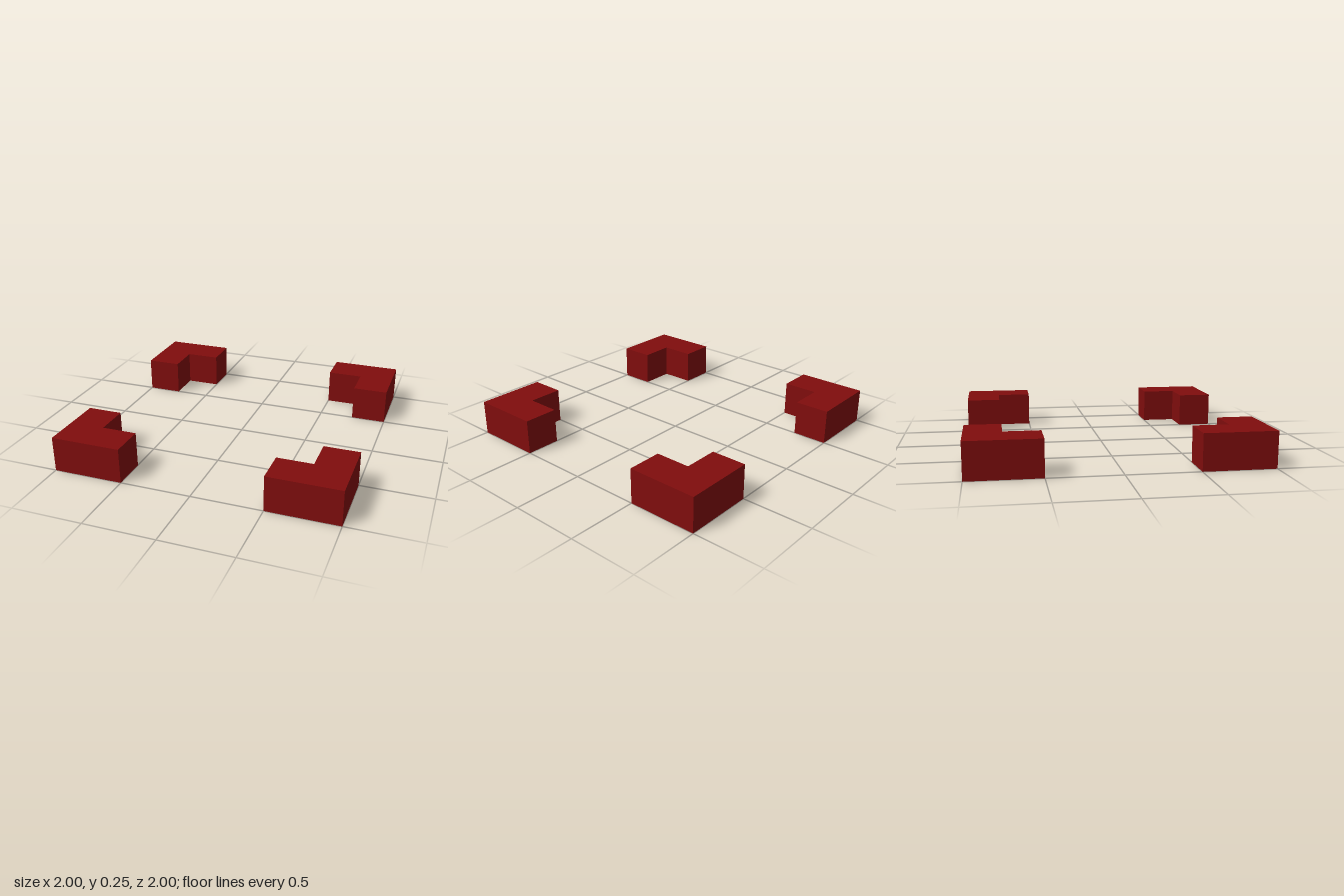
import * as THREE from 'three';

const HALF = 1;        // outer edge of the square
const ARM = 0.5;       // length of each arm of a bracket
const THICK = 0.25;    // width and height of the arms

export function createModel() {
  const model = new THREE.Group();
  model.name = 'cornerBrackets';

  const darkRed = new THREE.MeshStandardMaterial({ color: 0x800d0d });
  darkRed.name = 'darkRed';

  // L-shaped plan of one bracket, extruded upwards from the ground
  const inner = HALF - THICK;
  const end = HALF - ARM;
  const plan = new THREE.Shape([
    [HALF, HALF], [end, HALF], [end, inner],
    [inner, inner], [inner, end], [HALF, end],
  ].map(([x, y]) => new THREE.Vector2(x, y)));
  const bracket = new THREE.ExtrudeGeometry(plan, { depth: THICK, bevelEnabled: false });
  bracket.rotateX(-Math.PI / 2);

  // One bracket at each corner, a quarter turn apart
  const names = ['backLeftBracket', 'backRightBracket', 'frontRightBracket', 'frontLeftBracket'];
  names.forEach((name, i) => {
    const mesh = new THREE.Mesh(bracket, darkRed);
    mesh.name = name;
    mesh.rotation.y = i * Math.PI / 2;
    model.add(mesh);
  });

  return model;
}
